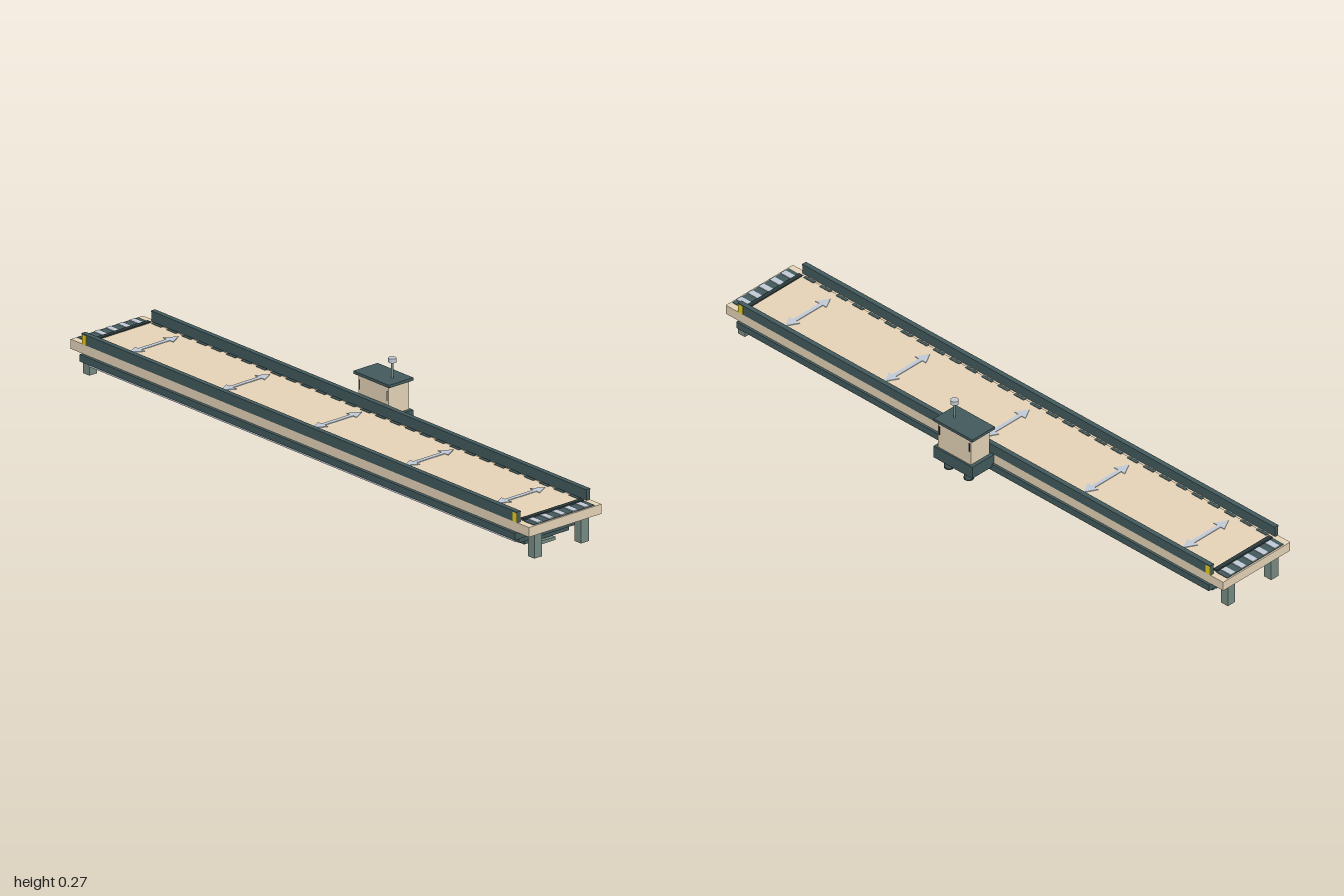
import * as THREE from 'three';

const mat = (name, color) => {
  const m = new THREE.MeshStandardMaterial({ color });
  m.name = name;
  return m;
};

export function createModel() {
  const root = new THREE.Group();
  root.name = 'platform';
  const dark = mat('darkTeal', 0x425a5d);
  const deep = mat('deepTeal', 0x2c3a3c);
  const tan = mat('sand', 0xe6d4b8);
  const steel = mat('greenGrey', 0x778c84);
  const pale = mat('paleGrey', 0xc0cad6);
  const yellow = mat('yellow', 0xf2d822);

  const add = (name, geometry, material, x = 0, y = 0, z = 0) => {
    const m = new THREE.Mesh(geometry, material);
    m.name = name;
    m.position.set(x, y, z);
    root.add(m);
    return m;
  };
  // Box given by its extents on each axis
  const box = (name, material, x0, x1, y0, y1, z0, z1) =>
    add(name, new THREE.BoxGeometry(x1 - x0, y1 - y0, z1 - z0), material,
      (x0 + x1) / 2, (y0 + y1) / 2, (z0 + z1) / 2);
  const cyl = (name, material, r, h, x, y, z, n = 20) =>
    add(name, new THREE.CylinderGeometry(r, r, h, n), material, x, y, z);

  // Deck and walking surface
  box('deck', tan, -1, 1, 0.08, 0.11, -0.1, 0.18);
  box('deckPanel', tan, -0.94, 0.94, 0.11, 0.113, -0.08, 0.16);

  // Stepped underside
  box('upperTray', dark, -0.95, 0.95, 0.058, 0.08, -0.108, 0.19);
  box('middleTray', dark, -0.935, 0.935, 0.038, 0.058, -0.078, 0.16);
  box('lowerTray', dark, -0.92, 0.92, 0.02, 0.038, -0.045, 0.127);
  box('keelBar', steel, -0.925, 0.925, 0.006, 0.016, 0.011, 0.071);
  for (const z of [-0.089, 0.171]) {
    box('sideStrip', pale, -0.93, 0.93, 0.043, 0.051, z - 0.0015, z + 0.0015);
  }

  // Side rails with caps and yellow plates on their outer faces
  for (const [z, s] of [[-0.094, -1], [0.175, 1]]) {
    box('rail', dark, -0.95, 0.95, 0.11, 0.14, z - 0.006, z + 0.006);
    box('railCap', dark, -0.95, 0.95, 0.14, 0.144, z - 0.008, z + 0.008);
    const face = z + s * 0.0065;
    for (const x of [-0.94, 0.94]) {
      box('railMarker', yellow, x - 0.009, x + 0.009, 0.111, 0.14, face - 0.001, face + 0.001);
    }
    // Dashes along the edge of the deck
    for (let i = 0; i < 29; i++) {
      const x = -0.91 + i * 0.065;
      box('edgeDash', dark, x - 0.02, x + 0.02, 0.11, 0.1145, z - s * 0.018 - 0.005, z - s * 0.018 + 0.005);
    }
  }

  // Ends: threshold bar, dark plate with pale stripes, and legs
  for (const s of [-1, 1]) {
    const span = (name, m, a, b, ...rest) =>
      box(name, m, Math.min(s * a, s * b), Math.max(s * a, s * b), ...rest);
    span('threshold', deep, 0.938, 0.952, 0.11, 0.117, -0.075, 0.156);
    span('endPlate', dark, 0.952, 0.995, 0.11, 0.112, -0.078, 0.158);
    for (let i = 0; i < 5; i++) {
      const z = -0.052 + i * 0.046;
      span('endStripe', pale, 0.954, 0.994, 0.112, 0.1145, z - 0.01, z + 0.01);
    }
    for (const z of [-0.05, 0.131]) {
      span('leg', steel, 0.957, 0.985, 0, 0.08, z - 0.015, z + 0.015);
    }
  }

  // Double-headed arrows across the deck
  const arrow = new THREE.Shape();
  [[0, 0.095], [0.022, 0.055], [0.007, 0.055], [0.007, -0.055], [0.022, -0.055],
    [0, -0.095], [-0.022, -0.055], [-0.007, -0.055], [-0.007, 0.055], [-0.022, 0.055]]
    .forEach(([x, y], i) => (i ? arrow.lineTo(x, y) : arrow.moveTo(x, y)));
  const arrowGeo = new THREE.ExtrudeGeometry(arrow, { depth: 0.002, bevelEnabled: false });
  arrowGeo.rotateX(-Math.PI / 2);
  for (const x of [-0.8, -0.4, 0, 0.4, 0.8]) add('deckArrow', arrowGeo, pale, x, 0.113, 0.035);

  // Control cabinet at the back
  box('cabinetBase', dark, -0.078, 0.078, 0.07, 0.11, -0.19, -0.1);
  box('cabinet', tan, -0.066, 0.066, 0.11, 0.2, -0.184, -0.105);
  box('cabinetRoof', dark, -0.08, 0.076, 0.2, 0.209, -0.192, -0.098);
  for (const z of [-0.1845, -0.1045]) {
    for (const x of [-0.06, 0.06]) {
      box('cabinetHandle', deep, x - 0.002, x + 0.002, 0.155, 0.185, z - 0.001, z + 0.001);
    }
  }
  for (const x of [-0.04, 0.04]) {
    cyl('supportPad', dark, 0.0145, 0.024, x, 0.058, -0.165);
    cyl('padFoot', deep, 0.015, 0.005, x, 0.0435, -0.165);
  }
  cyl('mast', steel, 0.0035, 0.05, 0.037, 0.234, -0.145, 12);
  cyl('mastLamp', pale, 0.012, 0.013, 0.037, 0.265, -0.145);

  return root;
}
